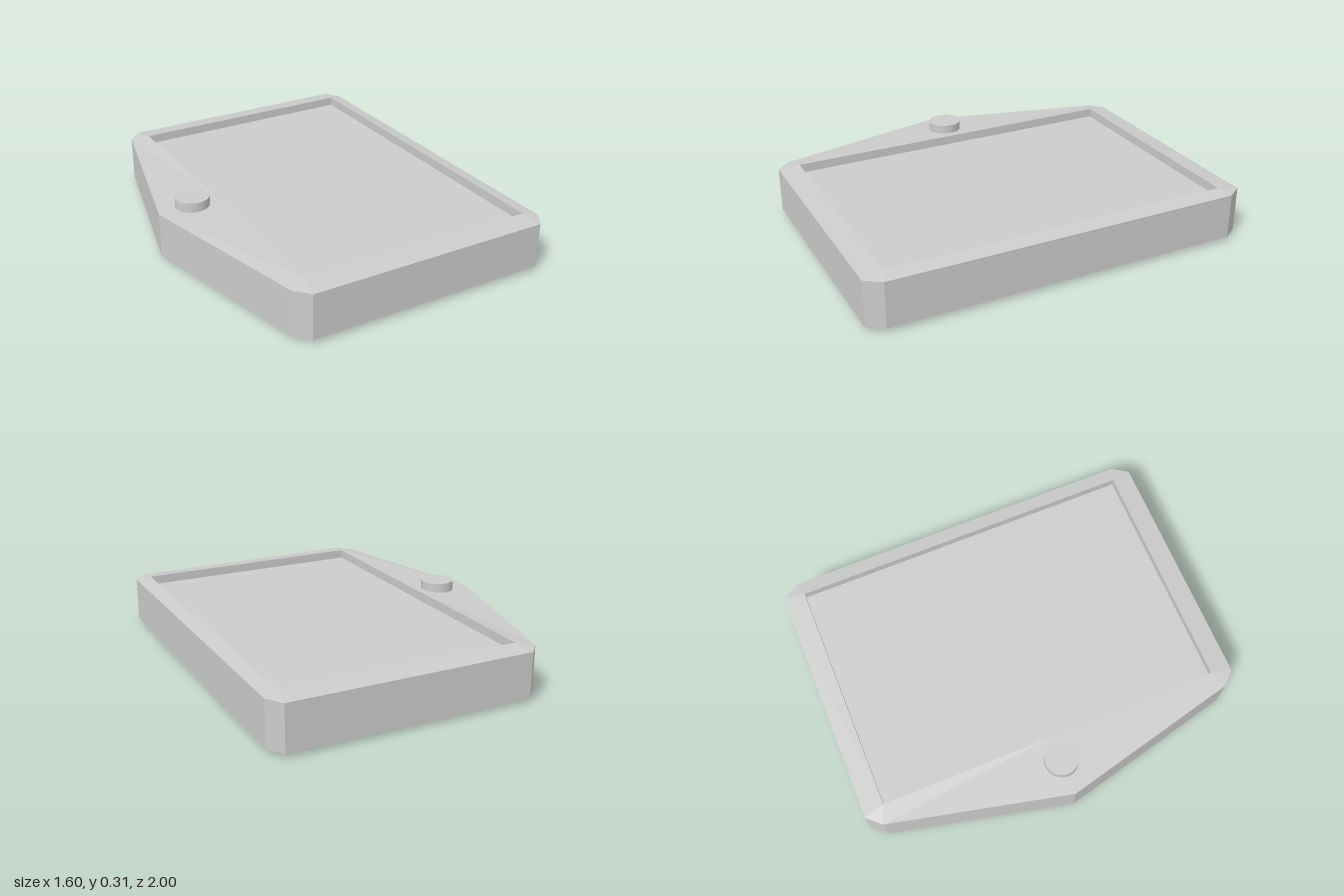
import * as THREE from 'three';

const material = new THREE.MeshStandardMaterial({ color: 0xcccccc, flatShading: true });

// Mirrors a half outline (apex first, then front side) to a full closed loop at height y
function loop(half, y) {
  const back = half.slice(1).reverse().map(([x, z]) => [x, -z]);
  return [...half, ...back].map(([x, z]) => new THREE.Vector3(x, y, z));
}

// Joins successive loops with faces, leaving out collapsed triangles
function loft(loops) {
  const points = [];
  const add = (a, b, c) => {
    if (new THREE.Triangle(a, b, c).getArea() > 1e-7) points.push(a, b, c);
  };
  for (let k = 0; k < loops.length - 1; k++) {
    const lower = loops[k], upper = loops[k + 1], n = lower.length;
    for (let i = 0; i < n; i++) {
      const j = (i + 1) % n;
      add(lower[i], lower[j], upper[j]);
      add(lower[i], upper[j], upper[i]);
    }
  }
  const geometry = new THREE.BufferGeometry().setFromPoints(points);
  geometry.computeVertexNormals();
  return geometry;
}

export function createModel() {
  const group = new THREE.Group();

  const outline = [[-0.8, 0], [-0.58, 0.93], [-0.515, 1], [0.745, 1], [0.8, 0.92]];
  const base = [[-0.71, 0], [-0.51, 0.86], [-0.47, 0.9], [0.7, 0.9], [0.72, 0.87]];
  const opening = [[-0.49, 0], [-0.49, 0.893], [-0.49, 0.893], [0.725, 0.893], [0.725, 0.893]];
  const centre = outline.map(() => [0.1, 0]);

  // Case: chamfered underside, walls, sloping rim and recess walls
  const body = new THREE.Mesh(loft([
    loop(centre, 0), loop(base, 0), loop(outline, 0.02),
    loop(outline, 0.253), loop(opening, 0.267), loop(opening, 0.22),
  ]), material);
  body.name = 'case';
  group.add(body);

  // Sunken screen
  const screen = new THREE.Mesh(loft([loop(opening, 0.22), loop(centre, 0.22)]), material);
  screen.name = 'screen';
  group.add(screen);

  // Round button on the pointed side
  const buttonMaterial = new THREE.MeshStandardMaterial({ color: 0xcccccc });
  const button = new THREE.Mesh(new THREE.CylinderGeometry(0.086, 0.086, 0.07, 48), buttonMaterial);
  button.position.set(-0.62, 0.275, 0);
  button.name = 'button';
  group.add(button);

  return group;
}
